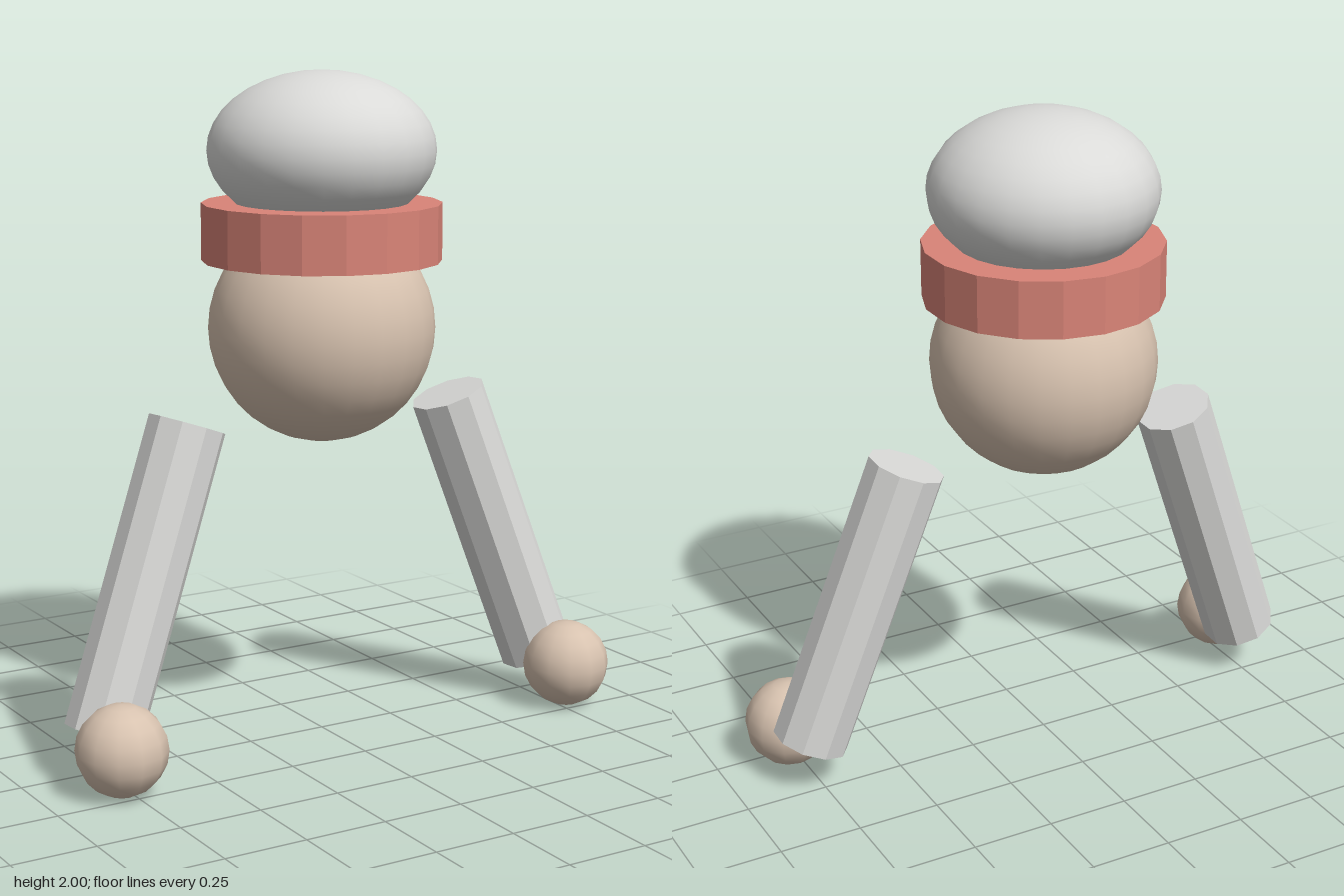
import * as THREE from 'three';

const mat = (name, color, flatShading = false) => {
  const m = new THREE.MeshStandardMaterial({ color, flatShading });
  m.name = name;
  return m;
};

export function createModel() {
  const group = new THREE.Group();
  const skin = mat('skin', 0xd8c3b0);
  const band = mat('red band', 0xd98478);
  const silver = mat('silver', 0xdadad8);
  // one silver colour; the arms get their facets from unshared normals
  const add = (name, geometry, material, x, y, z) => {
    const mesh = new THREE.Mesh(geometry, material);
    mesh.name = name;
    mesh.position.set(x, y, z);
    group.add(mesh);
    return mesh;
  };
  const faceted = (geometry) => {
    const g = geometry.toNonIndexed();
    g.computeVertexNormals();
    return g;
  };

  // Head, headband and flattened cap
  add('head', new THREE.SphereGeometry(0.337, 24, 18), skin, 0, 1.243, 0);
  add('headband', faceted(new THREE.CylinderGeometry(0.355, 0.355, 0.17, 18)), band, 0, 1.53, 0);
  add('cap', new THREE.SphereGeometry(0.337, 24, 18), silver, 0, 1.767, 0).scale.y = 0.233 / 0.337;

  // Splayed arms with hands in front of the lower ends
  const up = new THREE.Vector3(0, 1, 0);
  for (const [side, s] of [['left', 1], ['right', -1]]) {
    const top = new THREE.Vector3(s * 0.453, 1.0, 0);
    const bottom = new THREE.Vector3(s * 0.768, 0.14, 0.06);
    const axis = top.clone().sub(bottom);
    const mid = top.clone().add(bottom).multiplyScalar(0.5);
    const arm = add(side + 'Arm', faceted(new THREE.CylinderGeometry(0.116, 0.116, axis.length(), 10)),
      silver, mid.x, mid.y, mid.z);
    arm.quaternion.setFromUnitVectors(up, axis.normalize());
    add(side + 'Hand', new THREE.SphereGeometry(0.134, 12, 10), skin, s * 0.778, 0.134, 0.202);
  }
  return group;
}
